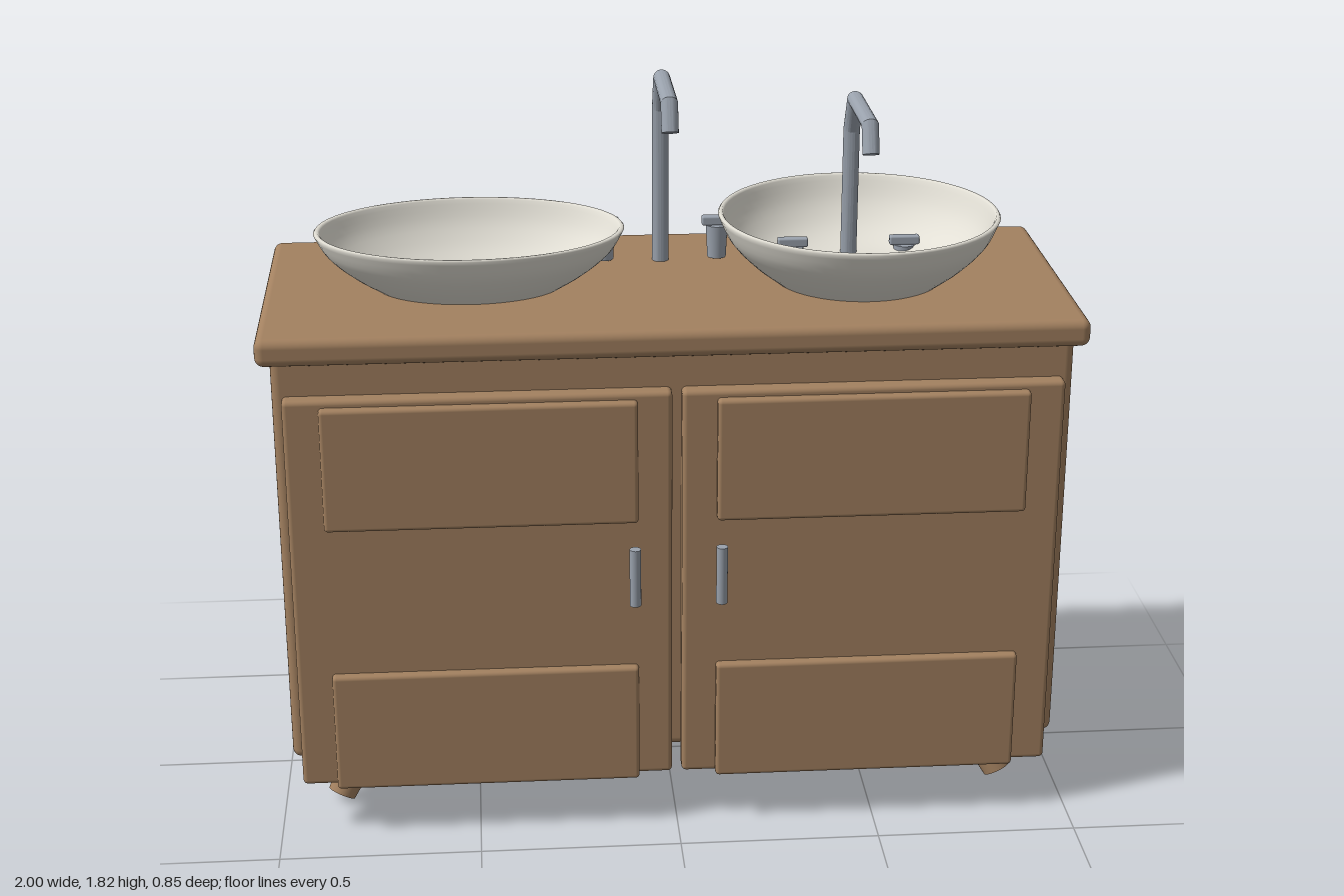
import * as THREE from 'three';
import { toCreasedNormals } from 'three/addons/utils/BufferGeometryUtils.js';
import { RoundedBoxGeometry } from 'three/addons/geometries/RoundedBoxGeometry.js';

const mat = (name, color) => {
  const m = new THREE.MeshStandardMaterial({ color });
  m.name = name;
  return m;
};

// Polyline path with mitred corners for the faucet pipe
class Polyline extends THREE.Curve {
  constructor(points) { super(); this.points = points; }
  getPointAt(u) {
    const n = this.points.length - 1, i = Math.min(Math.floor(u * n + 1e-6), n - 1);
    return this.points[i].clone().lerp(this.points[i + 1], u * n - i);
  }
  getTangentAt(u) {
    const p = this.points, n = p.length - 1, i = Math.round(u * n), t = new THREE.Vector3();
    if (i > 0) t.add(p[i].clone().sub(p[i - 1]).normalize());
    if (i < n) t.add(p[i + 1].clone().sub(p[i]).normalize());
    return t.normalize();
  }
}

export function createModel() {
  const model = new THREE.Group();
  model.name = 'doubleSinkVanity';
  const wood = mat('wood', 0xa38160);
  const ceramic = mat('ceramic', 0xe2dfd5);
  const metal = mat('metal', 0x9aa2ad);

  const add = (name, geometry, material, x = 0, y = 0, z = 0, parent = model) => {
    const mesh = new THREE.Mesh(geometry, material);
    mesh.name = name;
    mesh.position.set(x, y, z);
    parent.add(mesh);
    return mesh;
  };
  // Rounded box given by its extents
  const box = (name, [x0, x1], [y0, y1], [z0, z1], r) =>
    add(name, new RoundedBoxGeometry(x1 - x0, y1 - y0, z1 - z0, 3, r), wood,
      (x0 + x1) / 2, (y0 + y1) / 2, (z0 + z1) / 2);

  // Cabinet and counter
  box('cabinet', [-0.967, 0.967], [0.185, 1.26], [-0.397, 0.332], 0.022);
  box('countertop', [-1, 1], [1.242, 1.311], [-0.427, 0.358], 0.022);

  // Doors with raised panels and bar handles
  for (const s of [-1, 1]) {
    const span = (a, b) => (s > 0 ? [a, b] : [-b, -a]);
    box('door', span(0.012, 0.942), [0.13, 1.162], [0.315, 0.37], 0.012);
    box('upperPanel', span(0.096, 0.855), [0.83, 1.145], [0.35, 0.393], 0.01);
    box('lowerPanel', span(0.096, 0.855), [0.126, 0.44], [0.35, 0.393], 0.01);
    add('handle', new THREE.CylinderGeometry(0.014, 0.014, 0.15, 20), metal, s * 0.106, 0.697, 0.412);
  }

  // Splayed, tapered legs
  const down = new THREE.Vector3(0, -1, 0);
  for (const s of [-1, 1]) {
    for (const [zTop, zFoot] of [[0.148, 0.214], [-0.216, -0.282]]) {
      const top = new THREE.Vector3(s * 0.765, 0.2, zTop);
      const foot = new THREE.Vector3(s * 0.857, 0.016, zFoot);
      const axis = foot.clone().sub(top);
      const mid = top.clone().add(foot).multiplyScalar(0.5);
      const leg = add('leg', new THREE.CylinderGeometry(0.058, 0.036, axis.length(), 28), wood, mid.x, mid.y, mid.z);
      leg.quaternion.setFromUnitVectors(down, axis.normalize());
    }
  }

  // Basins: outer wall up, over the rim, inner wall down
  const curve = (pts, n) => new THREE.SplineCurve(pts.map(p => new THREE.Vector2(...p))).getPoints(n);
  const outer = curve([[0.6, 0], [0.77, 0.28], [0.92, 0.62], [1, 0.97]], 12);
  const rim = [new THREE.Vector2(0.99, 1), new THREE.Vector2(0.97, 1)];
  const openInner = curve([[0.96, 0.97], [0.88, 0.6], [0.74, 0.25], [0.59, 0.01]], 12);
  const closedInner = curve([[0.96, 0.97], [0.88, 0.6], [0.74, 0.28], [0.55, 0.1], [0.3, 0.05], [0, 0.04]], 20);
  const basin = (name, inner, x, rx, rz, h) => {
    const g = new THREE.LatheGeometry([...outer, ...rim, ...inner], 64);
    g.scale(rx, h, rz);
    add(name, g, ceramic, x, 1.309, -0.037);
  };
  basin('ovalBasin', openInner, -0.487, 0.385, 0.267, 0.148);
  basin('roundBasin', closedInner, 0.487, 0.353, 0.353, 0.168);

  // Faucets, each with a bent spout and two taps
  const path = [[0, -0.197], [0.4, -0.197], [0.489, -0.147], [0.489, 0.1], [0.422, 0.127]]
    .map(([y, z]) => new THREE.Vector3(0, y, z));
  const pipe = toCreasedNormals(new THREE.TubeGeometry(new Polyline(path), path.length - 1, 0.021, 20), 0.45);
  const tapBody = new THREE.CylinderGeometry(0.028, 0.024, 0.085, 24);
  const tapLever = new RoundedBoxGeometry(0.078, 0.024, 0.024, 2, 0.005);
  for (const [x, y] of [[0, 1.311], [0.487, 1.247]]) {
    const faucet = new THREE.Group();
    faucet.name = 'faucet';
    faucet.position.set(x, y, 0);
    model.add(faucet);
    add('spout', pipe, metal, 0, 0, 0, faucet);
    const cap = add('spoutOutlet', new THREE.CircleGeometry(0.021, 20), metal, 0, 0.422, 0.127, faucet);
    cap.quaternion.setFromUnitVectors(new THREE.Vector3(0, 0, 1), path[4].clone().sub(path[3]).normalize());
    for (const s of [-1, 1]) {
      add('tapBody', tapBody, metal, s * 0.145, 0.048, -0.198, faucet);
      add('tapLever', tapLever, metal, s * 0.145, 0.102, -0.198, faucet);
    }
  }
  return model;
}
